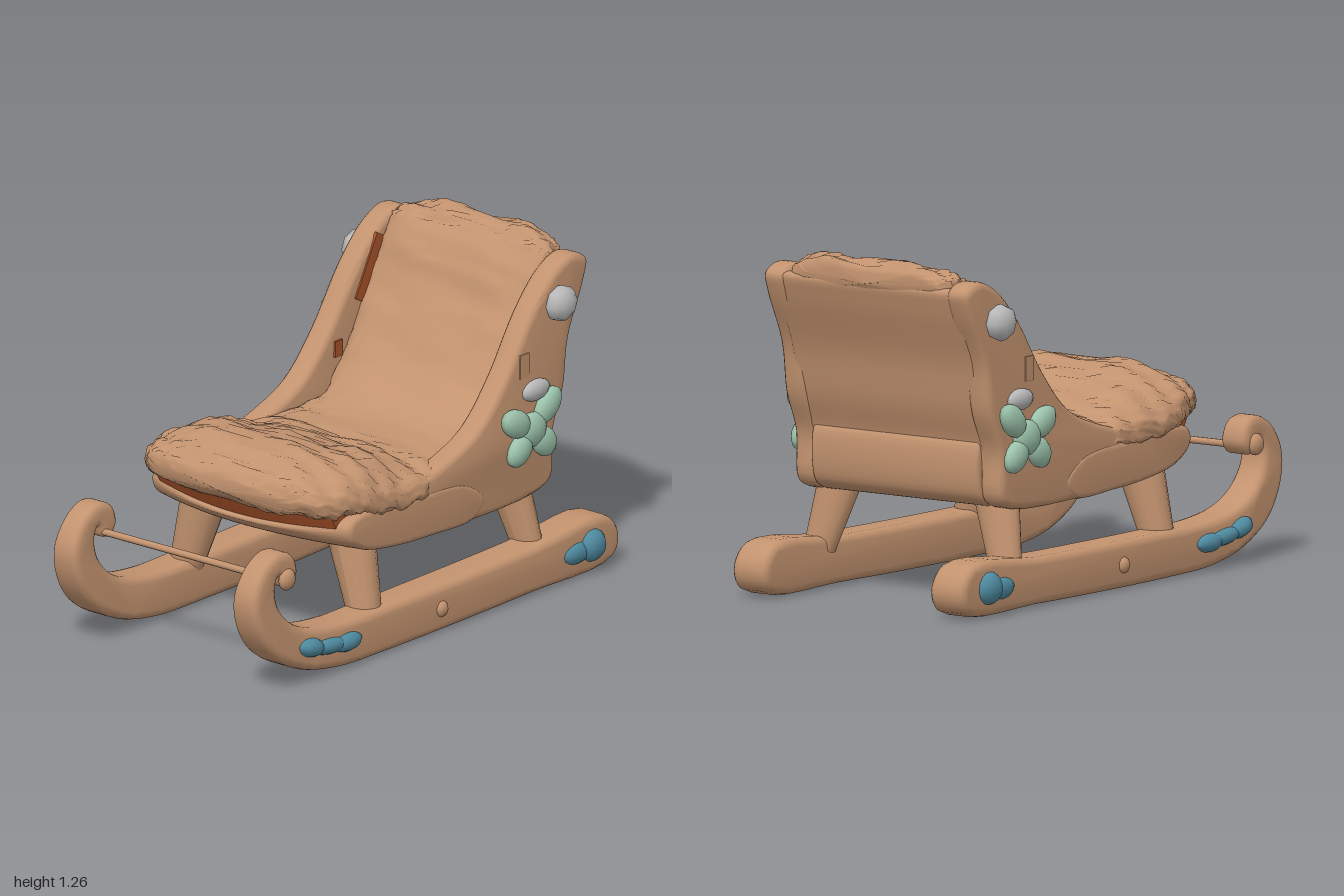
import * as THREE from 'three';
import { toCreasedNormals } from 'three/addons/utils/BufferGeometryUtils.js';

const material = (name, color) => {
  const m = new THREE.MeshStandardMaterial({ color });
  m.name = name;
  return m;
};

// Closed smooth outline through [z, y] points
function outline(points, n = 90) {
  const curve = new THREE.CatmullRomCurve3(
    points.map(([z, y]) => new THREE.Vector3(z, y, 0)), true, 'centripetal');
  return new THREE.Shape(curve.getPoints(n).slice(0, n).map(p => new THREE.Vector2(p.x, p.y)));
}

// Move each vertex by a rule
function reshape(g, rule) {
  const p = g.attributes.position, v = new THREE.Vector3();
  for (let i = 0; i < p.count; i++) {
    rule(v.fromBufferAttribute(p, i));
    p.setXYZ(i, v.x, v.y, v.z);
  }
  g.computeVertexNormals();
  return g;
}

// Side profile extruded across x, centred on x = 0, with rounded edges
function slab(shape, width, bevel, rule = () => {}, steps = 1) {
  const g = new THREE.ExtrudeGeometry(shape, {
    depth: width - 2 * bevel, bevelEnabled: true, bevelThickness: bevel,
    bevelSize: bevel, bevelOffset: -bevel, bevelSegments: 3, steps,
  });
  g.translate(0, 0, -(width - 2 * bevel) / 2);
  g.rotateY(-Math.PI / 2);
  return toCreasedNormals(reshape(g, rule), 0.8);
}

// Round the front of the seat in plan
const bow = v => {
  if (v.z > 0.1) v.z -= 0.4 * v.x * v.x * (v.z - 0.1) / 0.43;
};

const hash = (a, b) => {
  const s = Math.sin(a * 127.1 + b * 311.7) * 43758.5453;
  return (s - Math.floor(s)) * 2 - 1;
};

// Fur cushion: rows are [z, y, halfWidth, halfThickness] from front to back
function furGeometry() {
  const rows = [
    [0.635, 0.6, 0.32, 0.055], [0.55, 0.625, 0.41, 0.08], [0.42, 0.64, 0.46, 0.10],
    [0.25, 0.61, 0.478, 0.095], [0.05, 0.565, 0.475, 0.08], [-0.12, 0.56, 0.41, 0.06],
    [-0.3, 0.58, 0.365, 0.06], [-0.48, 0.69, 0.365, 0.06], [-0.61, 0.88, 0.365, 0.06],
    [-0.7, 1.05, 0.365, 0.06], [-0.77, 1.155, 0.365, 0.065], [-0.82, 1.18, 0.35, 0.07],
    [-0.89, 1.17, 0.34, 0.06],
  ];
  const path = new THREE.CatmullRomCurve3(rows.map(r => new THREE.Vector3(0, r[1], r[0])));
  const size = new THREE.CatmullRomCurve3(rows.map(r => new THREE.Vector3(r[2], r[3], 0)));
  const R = 90, S = 64, pos = [], idx = [];
  const sp = (v, e) => Math.sign(v) * Math.abs(v) ** e;
  for (let i = 0; i <= R; i++) {
    const t = i / R, c = path.getPoint(t), d = path.getTangent(t), s = size.getPoint(t);
    const end = Math.min(t / 0.05, (1 - t) / 0.05, 1);
    const round = Math.sqrt(Math.max(0, 1 - (1 - end) ** 2));
    const wide = i === 0 || i === R ? 0 : 0.6 + 0.4 * round;
    const ragged = t < 0.4 || t > 0.85 ? 1 : 0.35;
    const droop = t < 0.4 ? 0.055 * Math.sin(Math.PI * t / 0.4) : 0;
    for (let j = 0; j < S; j++) {
      const a = (j / S) * Math.PI * 2, cx = sp(Math.cos(a), 0.55), sy = sp(Math.sin(a), 0.75);
      const x = cx * s.x * wide + hash(i, j) * 0.008 * ragged * Math.abs(cx);
      const h = sy * s.y * round - droop * cx ** 4
        + round * ragged * (0.008 * Math.sin(x * 19 + t * 31) + 0.006 * Math.sin(t * 110 + x * 9))
        + round * ragged * 0.006 * hash(j, i);
      pos.push(x, c.y - d.z * h, c.z + d.y * h);
    }
  }
  for (let i = 0; i < R; i++) for (let j = 0; j < S; j++) {
    const k = (j + 1) % S, a = i * S + j, b = i * S + k, e = a + S, f = b + S;
    idx.push(a, e, b, b, e, f);
  }
  const g = new THREE.BufferGeometry();
  g.setAttribute('position', new THREE.Float32BufferAttribute(pos, 3));
  g.setIndex(idx);
  g.computeVertexNormals();
  return g;
}

export function createModel() {
  const wood = material('tan wood', 0xc3936f), rust = material('rust lining', 0xa9532a);
  const grey = material('pale grey', 0xbababa), green = material('mint green', 0x9cc3ab);
  const blue = material('teal blue', 0x4f8ba1);
  const model = new THREE.Group();
  model.name = 'sled';
  const add = (name, geo, mat, x = 0, y = 0, z = 0) => {
    const m = new THREE.Mesh(geo, mat);
    m.name = name;
    m.position.set(x, y, z);
    model.add(m);
    return m;
  };
  const blob = (name, mat, [x, y, z], [sx, sy, sz], tilt = 0) => {
    const m = add(name, new THREE.SphereGeometry(1, 10, 8), mat, x, y, z);
    m.scale.set(sx, sy, sz);
    m.rotation.x = tilt;
  };

  const runnerShape = outline([
    [-0.96, 0.03], [-0.5, 0.01], [0.3, 0.005], [0.55, 0.015], [0.75, 0.06], [0.9, 0.15],
    [0.98, 0.27], [0.995, 0.38], [0.94, 0.475], [0.85, 0.52], [0.78, 0.5], [0.755, 0.43],
    [0.79, 0.385], [0.835, 0.395], [0.855, 0.435], [0.875, 0.4], [0.865, 0.33], [0.81, 0.26],
    [0.72, 0.21], [0.55, 0.18], [0.3, 0.175], [-0.5, 0.18], [-0.93, 0.195], [-0.995, 0.11],
  ], 130);
  const panelShape = outline([
    [0.42, 0.45], [0.3, 0.39], [0, 0.36], [-0.6, 0.36], [-0.68, 0.4], [-0.69, 0.57],
    [-0.75, 0.72], [-0.78, 0.9], [-0.87, 1.1], [-0.885, 1.17], [-0.81, 1.205], [-0.7, 1.165],
    [-0.57, 1.04], [-0.42, 0.83], [-0.27, 0.68], [-0.1, 0.61], [0.15, 0.55], [0.4, 0.51],
  ]);

  // Seat body: floor with leaning back, back ledge and the bowed front lip
  add('seatShell', slab(outline([
    [0.4, 0.46], [0.3, 0.395], [0, 0.365], [-0.6, 0.365], [-0.67, 0.4], [-0.69, 0.58],
    [-0.74, 0.72], [-0.785, 0.9], [-0.865, 1.1], [-0.88, 1.17], [-0.8, 1.17], [-0.68, 1.0],
    [-0.5, 0.7], [-0.35, 0.56], [0, 0.5], [0.4, 0.49],
  ]), 0.8, 0.01), wood);
  add('backLedge', slab(outline([
    [-0.6, 0.37], [-0.69, 0.4], [-0.71, 0.57], [-0.69, 0.61], [-0.6, 0.61],
  ], 40), 0.74, 0.015), wood);
  add('frontLip', slab(outline([
    [0.54, 0.5], [0.525, 0.455], [0.43, 0.405], [0.3, 0.38], [0, 0.357], [-0.25, 0.36],
    [-0.3, 0.42], [-0.2, 0.5], [0.1, 0.53], [0.5, 0.535],
  ]), 0.93, 0.018, v => {
    bow(v);
    if (v.y > 0.46) v.y -= 0.6 * (v.y - 0.46) * Math.max(0, 1 - (v.x / 0.45) ** 2);
  }, 16), wood);

  // Rust lining under the cushion, its top reaching forward below the fur
  add('seatLining', reshape(
    new THREE.BoxGeometry(0.82, 0.11, 0.4, 20, 1, 6).translate(0, 0.51, 0.31), v => {
      if (v.y > 0.5) v.z += 0.17 * (v.z - 0.11);
      bow(v);
    }), rust);
  add('furCushion', furGeometry(), wood);
  add('panelLining', new THREE.BoxGeometry(0.012, 0.25, 0.05), rust,
    -0.357, 1.02, -0.635).rotation.x = -0.5;
  add('panelLining', new THREE.BoxGeometry(0.012, 0.06, 0.04), rust, -0.357, 0.76, -0.46);

  // Crossbar between the runner curls
  add('crossbar', new THREE.CylinderGeometry(0.013, 0.013, 0.96, 10).rotateZ(Math.PI / 2),
    wood, 0, 0.41, 0.825);

  for (const s of [1, -1]) {
    // Runner, narrowing toward the curl and flaring toward the ground
    add('runner', slab(runnerShape, 0.145, 0.028, v => {
      const flare = 1.04 - Math.max(0, v.y - 0.12) * Math.max(0, v.z) * 0.95;
      v.x = v.x * (1 - 0.03 * v.z) * flare + s * (0.428 - 0.01 * v.z);
    }), wood);

    add('sidePanel', slab(panelShape, 0.1, 0.025, v => {
      v.x += s * (0.411 - 0.01 * Math.max(0, v.y - 0.6));
    }), wood);

    // Legs splay from the seat out to the runners
    for (const [zTop, zLow, wide] of [[0.3, 0.315, 0.13], [-0.56, -0.6, 0.105]]) {
      const leg = new THREE.CylinderGeometry(0.5, 0.5, 0.28, 14, 4);
      add('leg', reshape(leg, v => {
        const t = 0.5 + v.y / 0.28;
        v.x = v.x * (0.13 + 0.06 * t) + s * (0.415 - 0.075 * t);
        v.z = v.z * wide * (0.9 + 0.3 * t) + zLow + (zTop - zLow) * t;
        v.y += 0.27;
      }), wood);
    }

    // Pegs on the bar ends and runner sides
    blob('barPeg', wood, [s * 0.475, 0.42, 0.82], [0.025, 0.04, 0.04]);
    blob('runnerPeg', wood, [s * 0.5, 0.09, -0.01], [0.022, 0.03, 0.03]);

    // Round domed button and small patches on the side panel
    const button = add('button', new THREE.SphereGeometry(1, 8, 6), grey, s * 0.472, 1.05, -0.71);
    button.scale.set(0.068, 0.05, 0.073);
    button.rotation.z = Math.PI / 2;
    blob('greyPatch', grey, [s * 0.46, 0.755, -0.58], [0.03, 0.04, 0.075]);
    add('panelTab', new THREE.BoxGeometry(0.01, 0.09, 0.05), wood, s * 0.457, 0.86, -0.52);

    // Four-petal ornament
    blob('ornamentCentre', green, [s * 0.47, 0.615, -0.55], [0.037, 0.065, 0.075]);
    for (const [dz, dy, len] of [
      [0.09, 0.045, 0.08], [0.07, -0.06, 0.07], [-0.085, 0.07, 0.08], [-0.065, -0.06, 0.07],
    ]) {
      blob('ornamentPetal', green, [s * 0.472, 0.615 + dy, -0.55 + dz],
        [0.034, 0.052, len], -Math.atan2(dy, dz));
    }

    // Blue ornaments on the runners: a long one in front, a drop behind
    blob('frontOrnament', blue, [s * 0.495, 0.105, 0.51], [0.035, 0.034, 0.075]);
    blob('frontOrnament', blue, [s * 0.49, 0.115, 0.605], [0.034, 0.03, 0.1], -0.1);
    blob('frontOrnament', blue, [s * 0.485, 0.135, 0.705], [0.043, 0.036, 0.068], -0.25);
    blob('rearOrnament', blue, [s * 0.51, 0.11, -0.835], [0.045, 0.06, 0.065]);
    blob('rearOrnament', blue, [s * 0.5, 0.1, -0.755], [0.035, 0.042, 0.08]);
  }
  return model;
}
